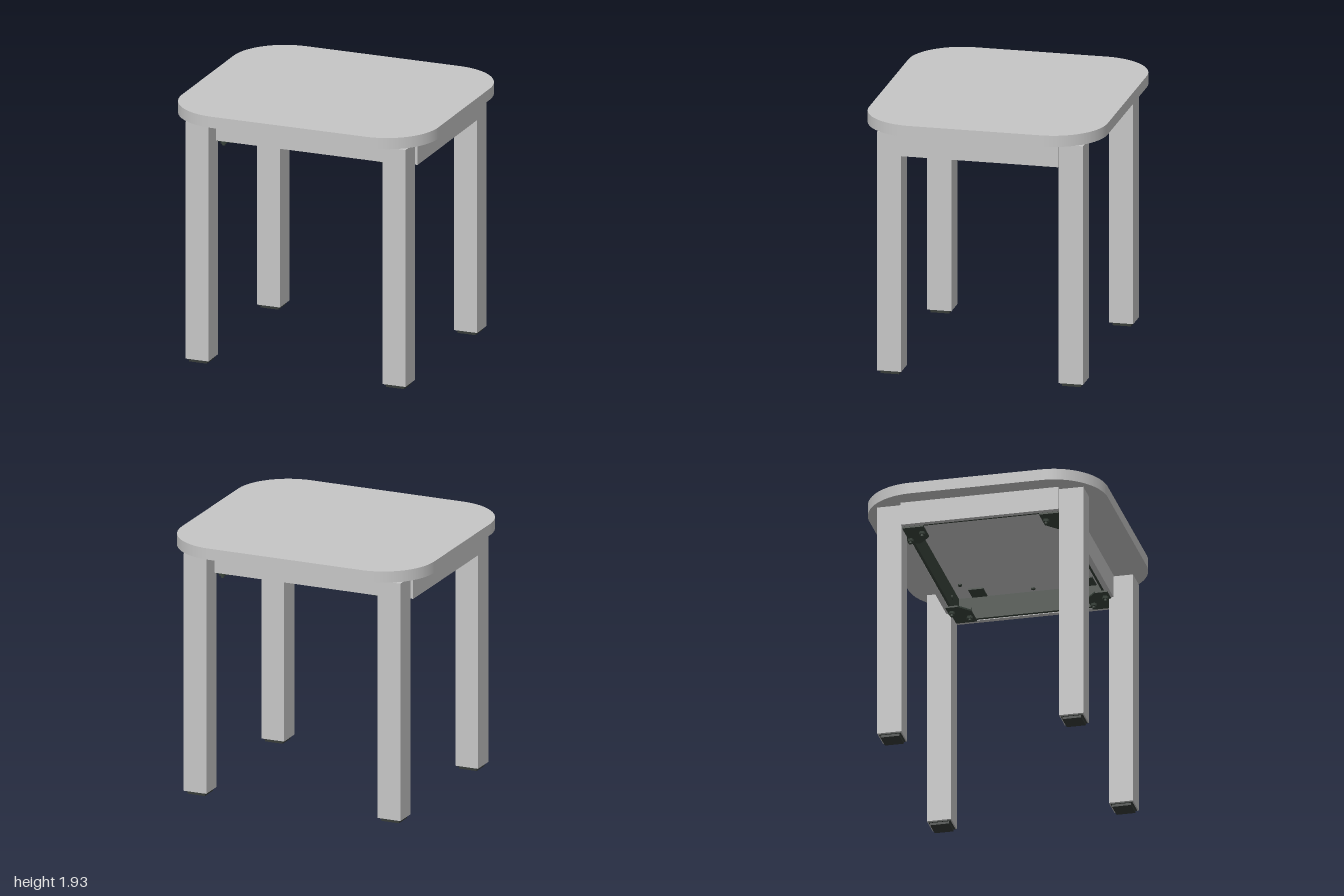
import * as THREE from 'three';

export function createModel() {
  const model = new THREE.Group();
  model.name = 'stool';

  const board = new THREE.MeshStandardMaterial({ color: 0xc6c6c6 });
  board.name = 'light grey';
  const steel = new THREE.MeshStandardMaterial({ color: 0x39433b });
  steel.name = 'dark green steel';
  const rubber = new THREE.MeshStandardMaterial({ color: 0x363b38 });
  rubber.name = 'dark rubber';

  const add = (name, geometry, material) => {
    const mesh = new THREE.Mesh(geometry, material);
    mesh.name = name;
    model.add(mesh);
    return mesh;
  };
  // Box given by its minimum and maximum on each axis
  const box = (name, material, x0, x1, y0, y1, z0, z1) => {
    const mesh = add(name, new THREE.BoxGeometry(Math.abs(x1 - x0), y1 - y0, Math.abs(z1 - z0)), material);
    mesh.position.set((x0 + x1) / 2, (y0 + y1) / 2, (z0 + z1) / 2);
    return mesh;
  };
  const cylinder = (name, r, h, x, y, z, sides = 16) => {
    const mesh = add(name, new THREE.CylinderGeometry(r, r, h, sides), steel);
    mesh.position.set(x, y, z);
    return mesh;
  };
  // Flat outline in x and z, extruded upwards from y
  const slab = (name, shape, material, y, depth) => {
    const geometry = new THREE.ExtrudeGeometry(shape, { depth, bevelEnabled: false, curveSegments: 24 });
    geometry.rotateX(-Math.PI / 2);
    geometry.translate(0, y, 0);
    return add(name, geometry, material);
  };

  // Seat with broad rounded corners
  const w = 1, d = 0.885, r = 0.4;
  const seat = new THREE.Shape();
  seat.absarc(w - r, d - r, r, 0, Math.PI / 2);
  seat.absarc(-w + r, d - r, r, Math.PI / 2, Math.PI);
  seat.absarc(-w + r, -d + r, r, Math.PI, Math.PI * 1.5);
  seat.absarc(w - r, -d + r, r, Math.PI * 1.5, Math.PI * 2);
  seat.closePath();
  slab('seat', seat, board, 1.845, 0.085);

  // Front, back and side rails, each with a steel frame bar behind it
  for (const s of [-1, 1]) {
    const end = s > 0 ? 'front' : 'back', side = s > 0 ? 'left' : 'right';
    box(end + 'Rail', board, -0.84, 0.84, 1.66, 1.835, s * 0.58, s * 0.62);
    box(side + 'Rail', board, s * 0.84, s * 0.88, 1.66, 1.835, -0.585, 0.585);
    box(end + 'FrameBar', steel, -0.84, 0.84, 1.665, 1.835, s * 0.56, s * 0.58);
    box(side + 'FrameBar', steel, s * 0.815, s * 0.84, 1.665, 1.835, -0.56, 0.56);
    cylinder(side + 'CentrePad', 0.015, 0.012, s * 0.78, 1.84, 0);
  }

  // Everything that repeats at the four corners
  for (const sx of [-1, 1]) for (const sz of [-1, 1]) {
    const corner = (sz > 0 ? 'front' : 'back') + (sx > 0 ? 'Left' : 'Right');
    box(corner + 'Leg', board, sx * 0.68, sx * 0.86, 0.025, 1.825, sz * 0.585, sz * 0.765);
    box(corner + 'Foot', rubber, sx * 0.70, sx * 0.84, 0, 0.025, sz * 0.605, sz * 0.745);
    box(corner + 'LegEndCap', rubber, sx * 0.69, sx * 0.85, 0.018, 0.026, sz * 0.595, sz * 0.755);

    // Chamfered bracket plate bolted below the frame
    const plate = new THREE.Shape([
      [0.56, 0.6], [0.56, 0.51], [0.65, 0.43], [0.835, 0.43], [0.835, 0.6],
    ].map(([x, z]) => new THREE.Vector2(sx * x, -sz * z)));
    slab(corner + 'BracketPlate', plate, steel, 1.65, 0.012);

    // Bolts with a stepped tip
    for (const [x, z] of [[0.64, 0.57], [0.74, 0.46]]) {
      cylinder(corner + 'BoltNut', 0.024, 0.02, sx * x, 1.64, sz * z, 6);
      cylinder(corner + 'BoltTip', 0.012, 0.035, sx * x, 1.633, sz * z);
    }

    // Tabs and pads holding the seat
    box(corner + 'SeatTab', steel, sx * 0.68, sx * 0.83, 1.833, 1.846, sz * 0.35, sz * 0.46);
    cylinder(corner + 'SeatPad', 0.015, 0.012, sx * 0.6, 1.84, sz * 0.5);

    // Screw heads on the inner faces of the frame
    cylinder(corner + 'EndScrew', 0.018, 0.012, sx * 0.6, 1.75, sz * 0.558).rotation.x = Math.PI / 2;
    cylinder(corner + 'SideScrew', 0.018, 0.012, sx * 0.813, 1.75, sz * 0.48).rotation.z = Math.PI / 2;
  }

  return model;
}
